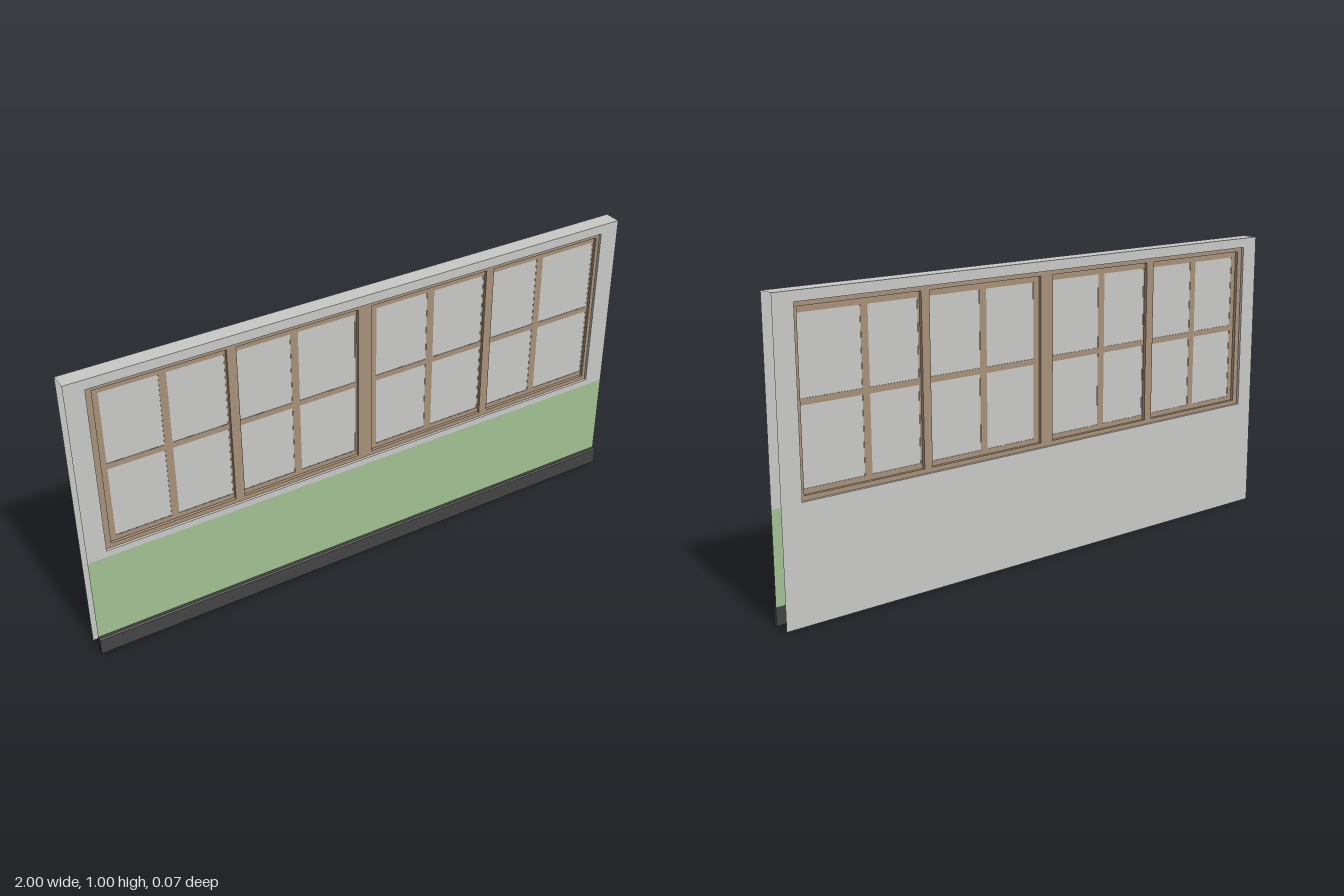
import * as THREE from 'three';

const material = (name, color) => {
  const m = new THREE.MeshStandardMaterial({ color, side: THREE.DoubleSide });
  m.name = name;
  return m;
};

// Rectangles are [x0, x1, y0, y1]
const trace = (path, [x0, x1, y0, y1]) => {
  path.moveTo(x0, y0).lineTo(x1, y0).lineTo(x1, y1).lineTo(x0, y1).closePath();
  return path;
};

export function createModel() {
  const model = new THREE.Group();
  const plaster = material('plaster', 0xc9c9c7);
  const green = material('greenPaint', 0xa2c293);
  const wood = material('wood', 0xa8927a);
  const dark = material('darkSkirting', 0x444444);
  const pane = material('paneGrey', 0xc9c9c7);

  const add = (name, geometry, mat, parent = model) => {
    const mesh = new THREE.Mesh(geometry, mat);
    mesh.name = name;
    parent.add(mesh);
    return mesh;
  };

  // Flat sheet with rectangular holes, facing front or back
  const sheet = (name, rect, holes, z, mat, parent) => {
    const shape = trace(new THREE.Shape(), rect);
    holes.forEach(h => shape.holes.push(trace(new THREE.Path(), h)));
    const geometry = new THREE.ShapeGeometry(shape);
    if (z < 0) { // turn to face the back
      geometry.scale(-1, 1, 1).rotateY(Math.PI).scale(1, 1, -1);
      const index = geometry.index.array;
      for (let i = 0; i < index.length; i += 3) [index[i], index[i + 1]] = [index[i + 1], index[i]];
      geometry.computeVertexNormals();
    }
    add(name, geometry, mat, parent).position.z = z;
  };

  // Four inward-facing sides of a rectangular opening
  const reveal = (name, [x0, x1, y0, y1], za, zb, mat, parent) => {
    const w = x1 - x0, h = y1 - y0, d = Math.abs(za - zb);
    const cx = (x0 + x1) / 2, cy = (y0 + y1) / 2, cz = (za + zb) / 2;
    const group = new THREE.Group();
    group.name = name;
    (parent || model).add(group);
    for (const s of [-1, 1]) {
      const side = add('jambSide', new THREE.PlaneGeometry(d, h), mat, group);
      side.rotation.y = -s * Math.PI / 2;
      side.position.set(cx + s * w / 2, cy, cz);
      const edge = add(s > 0 ? 'headSide' : 'sillSide', new THREE.PlaneGeometry(w, d), mat, group);
      edge.rotation.x = s * Math.PI / 2;
      edge.position.set(cx, cy + s * h / 2, cz);
    }
  };

  // Wall skin, open at both ends and underneath
  const zFront = 0.022, zBack = -0.036;
  const opening = [-0.935, 0.93, 0.383, 0.967];
  sheet('frontWall', [-1, 1, 0.36, 1], [opening], zFront, plaster);
  sheet('greenDado', [-1, 1, 0.06, 0.36], [], zFront, green);
  sheet('backWall', [-1, 1, 0, 1], [opening], zBack, plaster);
  const top = add('wallTop', new THREE.PlaneGeometry(2, zFront - zBack), plaster);
  top.rotation.x = -Math.PI / 2;
  top.position.set(0, 1, (zFront + zBack) / 2);

  // Skirting board with a small chamfer along its top front edge
  const profile = new THREE.Shape([[-0.036, 0], [-0.022, 0], [-0.022, 0.06], [-0.032, 0.06], [-0.036, 0.055]]
    .map(([x, y]) => new THREE.Vector2(x, y)));
  const skirting = new THREE.ExtrudeGeometry(profile, { depth: 2, bevelEnabled: false });
  skirting.rotateY(Math.PI / 2).translate(-1, 0, 0);
  add('skirtingBoard', skirting, dark);

  // Four windows: opening edges, then the edges of the two pane columns
  const windows = [
    { x: [-0.914, -0.487], columns: [[-0.893, -0.706], [-0.68, -0.492]] },
    { x: [-0.455, -0.03], columns: [[-0.45, -0.267], [-0.24, -0.037]] },
    { x: [0.02, 0.46], columns: [[0.043, 0.235], [0.262, 0.455]] },
    { x: [0.49, 0.917], columns: [[0.497, 0.674], [0.7, 0.912]] },
  ];
  const rows = [[0.415, 0.663], [0.683, 0.932]];
  const holes = windows.map(w => [...w.x, 0.398, 0.952]);

  // Stepped frame and sash faces on both sides of the wall
  const layers = [
    { name: 'front', wall: zFront, frame: 0.013, sash: 0.003 },
    { name: 'back', wall: zBack, frame: -0.027, sash: -0.016 },
  ];
  for (const { name, wall, frame, sash } of layers) {
    const group = new THREE.Group();
    group.name = name + 'Joinery';
    model.add(group);
    reveal('wallReveal', opening, wall, frame, plaster, group);
    sheet('windowFrame', opening, holes, frame, wood, group);
    windows.forEach(({ columns }, i) => {
      const panes = columns.flatMap(c => rows.map(r => [...c, ...r]));
      reveal('frameReveal', holes[i], frame, sash, wood, group);
      sheet('sash', holes[i], panes, sash, wood, group);
    });
  }

  // Panes set just below the sash faces
  for (const { columns } of windows) {
    for (const [x0, x1] of columns) {
      for (const [y0, y1] of rows) {
        add('windowPane', new THREE.BoxGeometry(x1 - x0, y1 - y0, 0.017), pane)
          .position.set((x0 + x1) / 2, (y0 + y1) / 2, -0.0065);
      }
    }
  }
  return model;
}
